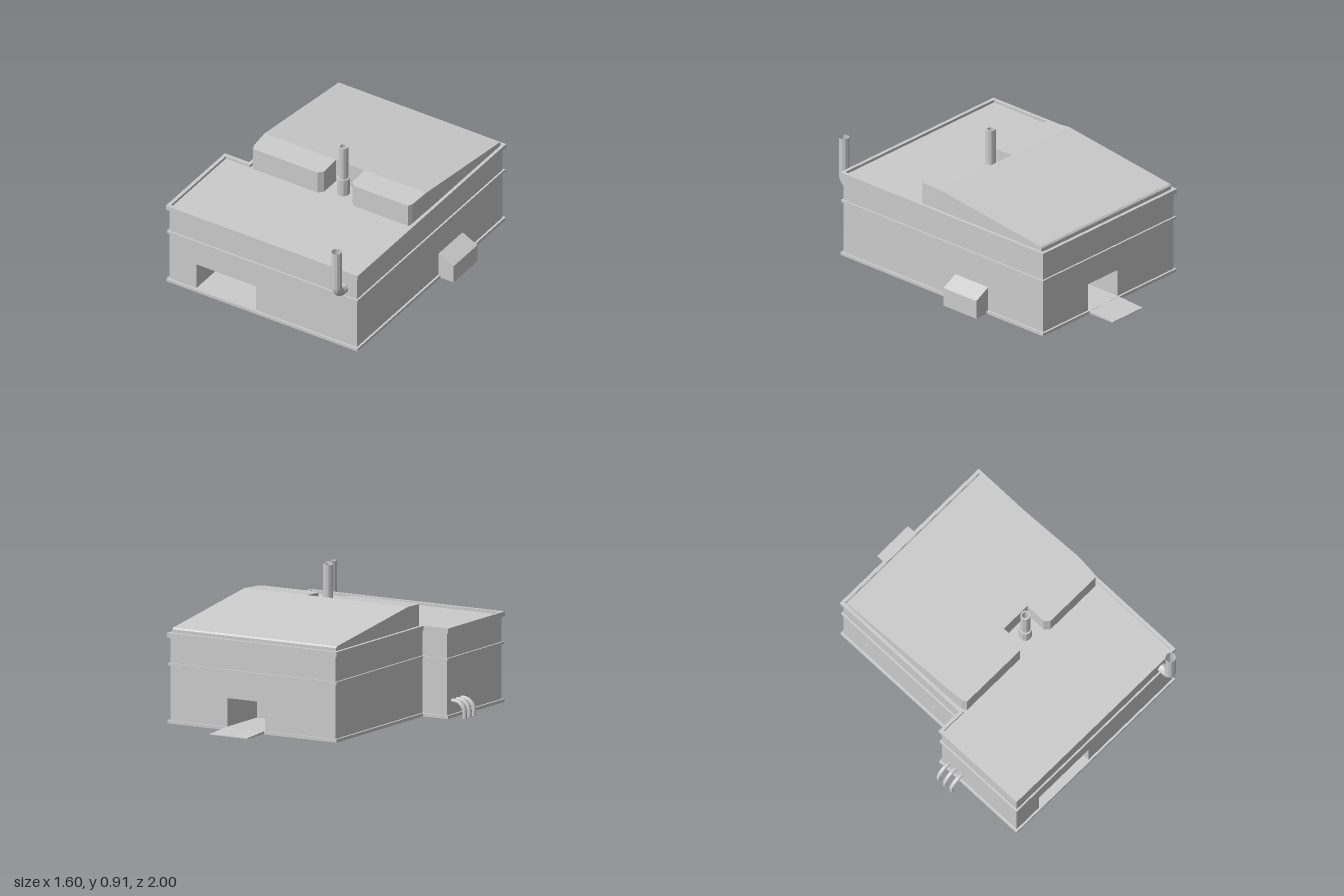
import * as THREE from 'three';

const material = new THREE.MeshStandardMaterial({ color: 0xcccccc, flatShading: true, side: THREE.DoubleSide });

function add(parent, name, geometry) {
  const mesh = new THREE.Mesh(geometry, material);
  mesh.name = name;
  parent.add(mesh);
  return mesh;
}

// L-shaped footprint as [x, z] corners, grown outward by o; optional recesses cut front and back
function footprint(o, recessed = false) {
  const front = 0.885 + o, back = -0.79 - o;
  const gate = recessed ? [[-0.496, front], [-0.496, 0.47], [-0.393, 0.47], [-0.393, 0.45],
    [-0.238, 0.45], [-0.238, 0.47], [-0.054, 0.47], [-0.054, front]] : [];
  const dock = recessed ? [[0.275, back], [0.275, -0.44], [0, -0.44], [0, back]] : [];
  return [[-0.695 - o, front], ...gate, [0.69 + o, front], [0.69 + o, back], ...dock,
    [-0.515 - o, back], [-0.515 - o, 0.24 - o], [-0.695 - o, 0.24 - o]];
}

// Extrudes an [x, z] outline upward from y0 to y1
function slab(points, y0, y1, hole) {
  const toVec = ([x, z]) => new THREE.Vector2(x, -z);
  const shape = new THREE.Shape(points.map(toVec));
  if (hole) shape.holes.push(new THREE.Path(hole.map(toVec)));
  return new THREE.ExtrudeGeometry(shape, { depth: y1 - y0, bevelEnabled: false })
    .rotateX(-Math.PI / 2).translate(0, y0, 0);
}

// Extrudes a [z, y] side profile across x from x0 to x1
function sideProfile(points, x0, x1) {
  const shape = new THREE.Shape(points.map(([z, y]) => new THREE.Vector2(-z, y)));
  return new THREE.ExtrudeGeometry(shape, { depth: x1 - x0, bevelEnabled: false })
    .rotateY(Math.PI / 2).translate(x0, 0, 0);
}

// Straight run, rounded elbow, straight run
function bentPipe(start, corner, end, bend, radius) {
  const [a, c, b] = [start, corner, end].map(p => new THREE.Vector3(...p));
  const p = c.clone().add(a.clone().sub(c).setLength(bend));
  const q = c.clone().add(b.clone().sub(c).setLength(bend));
  const u = p.clone().sub(c), v = q.clone().sub(c), points = [a];
  for (let i = 0; i <= 6; i++) {
    const t = i / 6 * Math.PI / 2;
    points.push(c.clone().addScaledVector(u, 1 - Math.sin(t)).addScaledVector(v, 1 - Math.cos(t)));
  }
  points.push(b);
  const path = new THREE.CurvePath();
  for (let i = 1; i < points.length; i++) path.add(new THREE.LineCurve3(points[i - 1], points[i]));
  return new THREE.TubeGeometry(path, 40, radius, 10, false);
}

export function createModel() {
  const model = new THREE.Group();
  model.name = 'industrialBuilding';

  // Main block, with the gate and dock recesses in the lower storey
  add(model, 'baseSlab', slab(footprint(0.014), 0, 0.02));
  add(model, 'lowerWalls', slab(footprint(0, true), 0.02, 0.2));
  add(model, 'upperWalls', slab(footprint(0), 0.2, 0.555));
  add(model, 'middleBand', slab(footprint(0.012), 0.366, 0.382));
  add(model, 'parapet', slab(footprint(0.016), 0.543, 0.573, footprint(-0.007)));

  // Sloping roof hall
  const hall = new THREE.Group();
  hall.name = 'roofHall';
  model.add(hall);
  add(hall, 'slopedRoof', sideProfile(
    [[0.08, 0.55], [0.08, 0.715], [-0.765, 0.602], [-0.775, 0.592], [-0.775, 0.55]], -0.51, 0.685));

  // Two front bays with chamfered corners, either side of the chimney
  for (const [name, x0, x1, outer0, outer1] of [
    ['rightBay', -0.51, 0.02, 0.015, 0.02], ['leftBay', 0.23, 0.685, 0.02, 0.015]]) {
    const bay = slab([[x0, 0.08], [x0 + (x0 < 0 ? 0.01 : 0), 0.22], [x0 + outer0 + 0.01, 0.25],
      [x1 - outer1 - 0.01, 0.25], [x1 - (x1 > 0.5 ? 0.01 : 0), 0.22], [x1, 0.08]], 0.55, 0.715);
    const pos = bay.attributes.position;
    for (let i = 0; i < pos.count; i++) {
      if (pos.getY(i) > 0.6) pos.setY(i, 0.715 - (pos.getZ(i) - 0.08) * 0.05);
    }
    bay.computeVertexNormals();
    add(hall, name, bay);
  }

  // Stepped chimney with an open top
  const profile = [[0.042, 0.55], [0.042, 0.673], [0.032, 0.673], [0.032, 0.907],
    [0.022, 0.907], [0.022, 0.8], [0, 0.8]].map(p => new THREE.Vector2(...p));
  add(model, 'chimney', new THREE.LatheGeometry(profile, 10)).position.set(0.126, 0, 0.163);

  // Exhaust pipe rising from the front wall
  add(model, 'exhaustPipe', bentPipe([0.595, 0.433, 0.87], [0.595, 0.433, 0.967], [0.595, 0.755, 0.967], 0.06, 0.033));

  // Three pipes running from the side wall into the ground
  for (const z of [0.3, 0.355, 0.41]) {
    add(model, 'groundPipe', bentPipe([-0.68, 0.105, z], [-0.787, 0.105, z], [-0.787, 0, z], 0.075, 0.014));
  }

  // Lean-to on the left wall
  const leanTo = new THREE.Shape([[0.68, 0], [0.8, 0], [0.8, 0.122], [0.69, 0.178], [0.68, 0.178]]
    .map(p => new THREE.Vector2(...p)));
  add(model, 'leanTo', new THREE.ExtrudeGeometry(leanTo, { depth: 0.275, bevelEnabled: false }))
    .position.z = -0.33;

  // Dock ramp at the back
  add(model, 'dockRamp', sideProfile([[-0.79, 0.002], [-0.79, 0.02], [-1, 0.008], [-1, 0.002]], 0, 0.275));

  return model;
}
